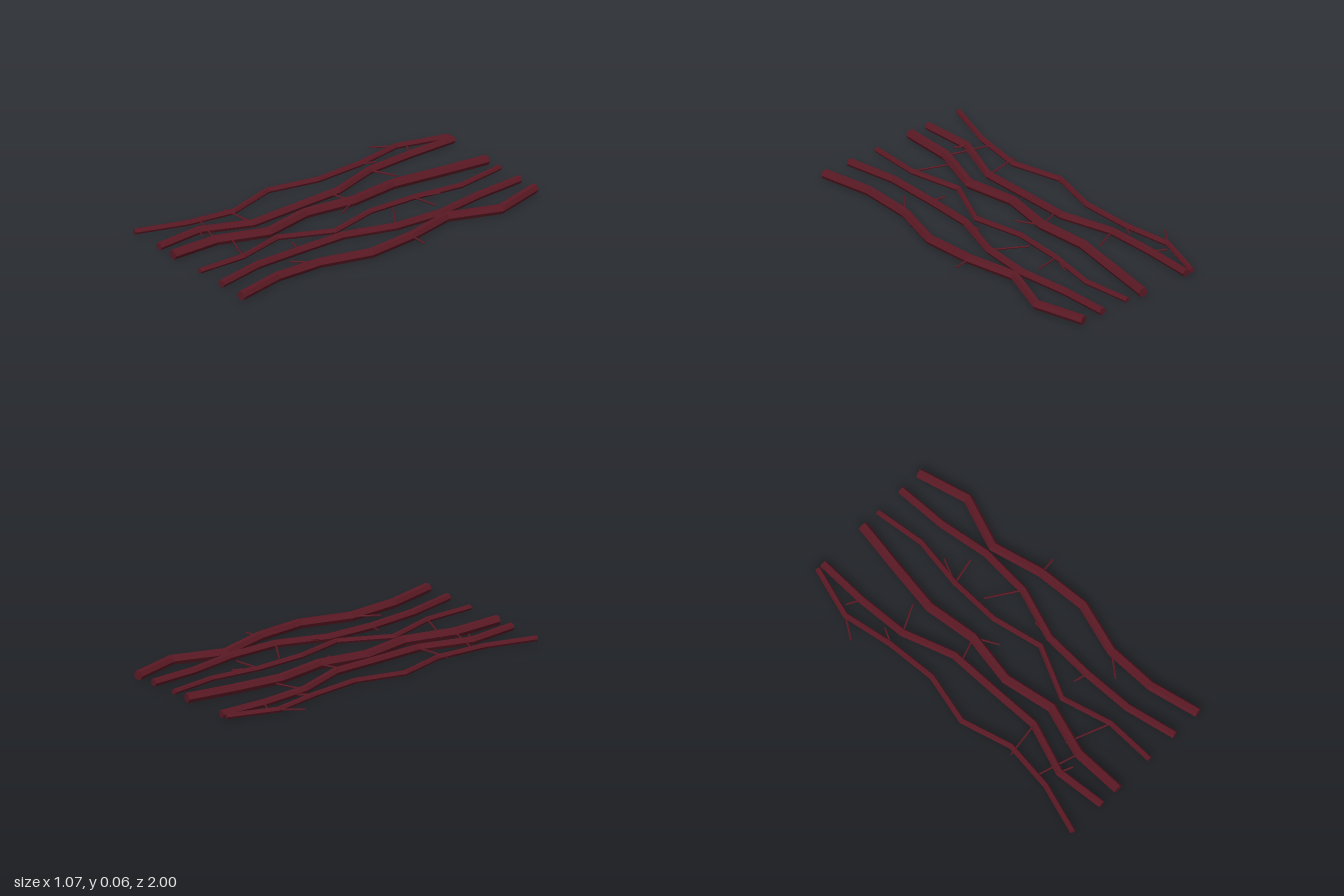
import * as THREE from 'three';

// Shared height of the vines at each of the eight stations along z
const HEIGHTS = [0.032, 0.028, 0.029, 0.033, 0.029, 0.0255, 0.031, 0.033];
const STATIONS = HEIGHTS.map((_, i) => -0.993 + (i * 1.986) / 7);

// Each vine: radius, x at each station, twigs as [station, tip x, tip z, tip y]
const VINES = [
  { r: 0.016, xs: [-0.375, -0.457, -0.404, -0.383, -0.447, -0.364, -0.394, -0.478],
    twigs: [[1, -0.535, -0.59, 0.025], [2, -0.362, -0.51, 0.035]] },
  { r: 0.022, xs: [-0.335, -0.335, -0.314, -0.214, -0.205, -0.193, -0.291, -0.262],
    twigs: [[1, -0.415, -0.75, 0.03], [2, -0.167, -0.497, 0.035], [5, -0.4, 0.457, 0.03], [6, -0.22, 0.74, 0.035]] },
  { r: 0.028, xs: [-0.038, -0.077, -0.112, -0.074, -0.117, -0.061, -0.145, -0.141],
    twigs: [[3, -0.203, -0.095, 0.035], [3, -0.003, -0.015, 0.028], [6, -0.383, 0.636, 0.03]] },
  { r: 0.0155, xs: [0.073, 0.114, 0.077, 0.077, 0.143, 0.015, 0.094, 0.094],
    twigs: [[2, 0.225, -0.457, 0.033], [2, 0.13, -0.56, 0.035], [6, -0.151, 0.615, 0.03]] },
  { r: 0.022, xs: [0.246, 0.262, 0.309, 0.299, 0.209, 0.205, 0.219, 0.283],
    twigs: [[3, 0.119, -0.257, 0.035], [4, 0.214, 0.032, 0.04], [5, 0.124, 0.405, 0.033]] },
  { r: 0.027, xs: [0.378, 0.459, 0.362, 0.436, 0.462, 0.385, 0.39, 0.457],
    twigs: [[3, 0.533, -0.153, 0.026], [5, 0.288, 0.55, 0.033]] },
];

// Six-sided tube bent through the stations, with mitred joints
function vineGeometry(xs, r) {
  const last = xs.length - 1;
  const geo = new THREE.CylinderGeometry(1, 1, 1, 6, last).rotateY(Math.PI / 6).rotateX(Math.PI / 2);
  const heading = (i) => Math.atan2(xs[i + 1] - xs[i], STATIONS[i + 1] - STATIONS[i]);
  const pos = geo.attributes.position;
  for (let k = 0; k < pos.count; k++) {
    const i = Math.round((pos.getZ(k) + 0.5) * last);
    const before = heading(Math.max(i - 1, 0));
    const after = heading(Math.min(i, last - 1));
    const a = (before + after) / 2;
    const side = (pos.getX(k) * r) / Math.cos((after - before) / 2);
    pos.setXYZ(k, xs[i] + side * Math.cos(a), HEIGHTS[i] + pos.getY(k) * r, STATIONS[i] - side * Math.sin(a));
  }
  geo.computeVertexNormals();
  return geo;
}

// Thin straight twig between two points
function twigMesh(from, to, material) {
  const dir = to.clone().sub(from);
  const mesh = new THREE.Mesh(new THREE.CylinderGeometry(0.005, 0.006, dir.length(), 5), material);
  mesh.position.copy(from).add(to).multiplyScalar(0.5);
  mesh.quaternion.setFromUnitVectors(new THREE.Vector3(0, 1, 0), dir.normalize());
  mesh.name = 'twig';
  return mesh;
}

export function createModel() {
  const model = new THREE.Group();
  model.name = 'vines';
  const bark = new THREE.MeshStandardMaterial({ color: 0x5a1924 });
  bark.name = 'dark red bark';
  bark.flatShading = true;

  VINES.forEach(({ r, xs, twigs }, n) => {
    const vine = new THREE.Group();
    vine.name = `vine${n + 1}`;
    const stem = new THREE.Mesh(vineGeometry(xs, r), bark);
    stem.name = 'stem';
    vine.add(stem);
    for (const [i, x, z, y] of twigs) {
      vine.add(twigMesh(new THREE.Vector3(xs[i], HEIGHTS[i], STATIONS[i]), new THREE.Vector3(x, y, z), bark));
    }
    model.add(vine);
  });
  return model;
}
